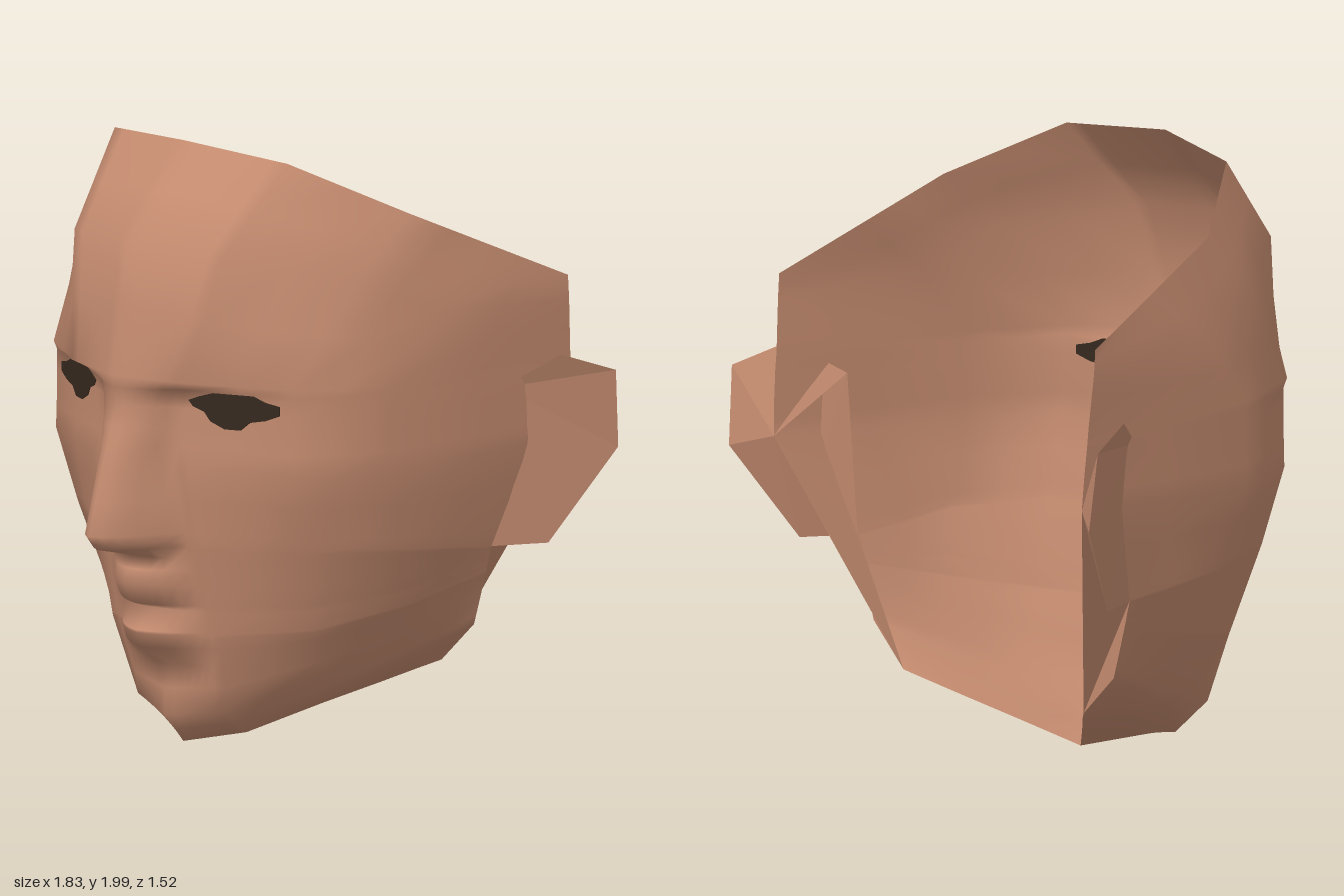
import * as THREE from 'three';

const skin = new THREE.MeshStandardMaterial({ color: 0xc48b6f, side: THREE.DoubleSide });
skin.name = 'skin';
const eyeDark = new THREE.MeshStandardMaterial({ color: 0x35291f, side: THREE.DoubleSide });
eyeDark.name = 'eye dark';

// Guide curves from hairline to under the chin, as [x, y, z]; LEVELS keys each step.
const LEVELS = [2, 1.7, 1.27, 1.23, 1.1, 0.97, 0.72, 0.4, 0.11, 0, -0.1];
const CENTRE = [[0, 2, .33], [0, 1.7, .585], [0, 1.27, .655], [0, 1.23, .56], [0, 1.1, .56], [0, .97, .56],
  [0, .72, .53], [0, .4, .45], [0, .11, .415], [0, .01, .33], [0, .01, -.03]];
const INNER = [[.4, 1.97, .25], [.34, 1.68, .49], [.26, 1.27, .58], [.2, 1.23, .52], [.2, 1.1, .52], [.22, .97, .52],
  [.25, .72, .475], [.25, .4, .405], [.2, .14, .34], [.18, .05, .22], [.15, .087, -.153]];
const CHEEK = [[.66, 1.8, -.05], [.63, 1.6, .16], [.55, 1.26, .38], [.55, 1.23, .365], [.55, 1.1, .365], [.56, .97, .36],
  [.53, .72, .29], [.47, .42, .2], [.42, .26, .1], [.4, .19, 0], [.3, .163, -.277]];
const SIDE = [[.725, 1.665, -.345], [.72, 1.48, -.1], [.7, 1.25, .08], [.7, 1.22, .08], [.7, 1.1, .08], [.7, .96, .08],
  [.67, .7, 0], [.6, .48, -.08], [.54, .36, -.14], [.5, .285, -.2], [.38, .205, -.345]];
const RIM = [[.79, 1.53, -.64], [.79, 1.45, -.645], [.78, 1.27, -.66], [.78, 1.22, -.665], [.775, 1.1, -.675], [.77, 1, -.68],
  [.68, .65, -.4], [.655, .56, -.4], [.625, .46, -.4], [.6, .38, -.4], [.45, .24, -.4]];
const GUIDES = [CENTRE, INNER, CHEEK, SIDE, RIM];

// Nose and lips: depth of the middle line, and half width of the raised area, by height
const PROFILE = [[1.27, .655], [1.17, .635], [.97, .70], [.75, .76], [.70, .72], [.66, .56], [.62, .58], [.57, .60],
  [.50, .55], [.48, .49], [.41, .545], [.35, .52], [.28, .42], [.11, .415]];
const WIDTH = [[1.27, .2], [1.17, .16], [.97, .13], [.75, .16], [.70, .15], [.66, .17], [.28, .2], [.11, .2]];
const ROWS = [2, 1.85, 1.7, 1.48, 1.27, 1.23, 1.17, 1.1, 1.04, .97, .86, .75, .72, .70, .66, .62, .57, .50, .48,
  .41, .4, .35, .28, .2, .11, .05, 0, -.05, -.1];

const mix = THREE.MathUtils.lerp;

// Piecewise linear lookup in a table sorted from high to low
function lookup(table, v) {
  const i = Math.max(1, table.findIndex(p => p[0] <= v));
  const [a, b] = [table[i - 1], table[i]];
  return mix(a[1], b[1], (a[0] - v) / (a[0] - b[0]));
}

function guidePoint(guide, v) {
  return [0, 1, 2].map(k => lookup(LEVELS.map((l, i) => [l, guide[i][k]]), v));
}

// Cross-section of the right half of the shell at one level, from middle to rim
function halfSection(v) {
  const keys = GUIDES.map(g => guidePoint(g, v));
  const points = [keys[0]];
  for (let s = 0; s < 4; s++) {
    const n = s === 0 ? 7 : 2;
    for (let j = 1; j <= n; j++) points.push(keys[s].map((c, k) => mix(c, keys[s + 1][k], j / n)));
  }
  if (v <= 1.27 && v >= 0.11) {
    const raise = lookup(PROFILE, v) - keys[0][2], w = lookup(WIDTH, v);
    for (const p of points) p[2] += raise * Math.max(0, 1 - (p[0] / w) ** 2);
  }
  return points;
}

function shellGeometry() {
  const pos = [], index = [];
  let n = 0;
  for (const v of ROWS) {
    const half = halfSection(v);
    const left = half.slice(1).reverse().map(([x, y, z]) => [-x, y, z]);
    const row = [...left, ...half];
    n = row.length;
    pos.push(...row.flat());
  }
  for (let i = 0; i < ROWS.length - 1; i++) {
    for (let j = 0; j < n - 1; j++) {
      const a = i * n + j, b = a + n;
      index.push(a, b, a + 1, b, b + 1, a + 1);
    }
  }
  const g = new THREE.BufferGeometry();
  g.setAttribute('position', new THREE.Float32BufferAttribute(pos, 3));
  g.setIndex(index);
  g.computeVertexNormals();
  return g;
}

// Flat facets from a few corner points
function facets(points, faces) {
  const g = new THREE.BufferGeometry();
  g.setAttribute('position', new THREE.Float32BufferAttribute(faces.flat().flatMap(i => points[i]), 3));
  g.computeVertexNormals();
  return g;
}

// Thin eye plate lying in the sloped plane of the socket
function eyeGeometry() {
  const outline = [[.215, 1.2], [.23, 1.18], [.265, 1.165], [.285, 1.135], [.33, 1.112], [.38, 1.112], [.41, 1.14],
    [.46, 1.15], [.505, 1.17], [.505, 1.2], [.46, 1.21], [.42, 1.228], [.29, 1.228], [.25, 1.215]];
  const shape = new THREE.Shape(outline.map(([x, y]) => new THREE.Vector2(x, y)));
  const g = new THREE.ExtrudeGeometry(shape, { depth: 0.009, bevelEnabled: false });
  const p = g.attributes.position;
  for (let i = 0; i < p.count; i++) p.setZ(i, p.getZ(i) - 0.0045 + 0.52 - 0.443 * (p.getX(i) - 0.2));
  g.computeVertexNormals();
  return g;
}

export function createModel() {
  const model = new THREE.Group();
  model.name = 'faceMask';

  const add = (name, geometry, material, mirror = 1) => {
    const mesh = new THREE.Mesh(geometry, material);
    mesh.name = name;
    mesh.scale.x = mirror;
    model.add(mesh);
  };

  add('faceShell', shellGeometry(), skin);

  // Ear: outer fan, then a back fan meeting the rim (last point)
  const ear = facets(
    [[.72, 1.18, -.41], [.84, 1.285, -.56], [.915, 1.22, -.735], [.9, .96, -.76], [.77, .65, -.57], [.68, .65, -.4], [.77, 1, -.68]],
    [[0, 5, 4], [0, 4, 3], [0, 3, 2], [0, 2, 1], [6, 1, 2], [6, 2, 3], [6, 3, 4], [6, 0, 1], [6, 4, 5]]);

  // Web closing the notch between ear and jaw corner
  const jawBack = facets(
    [[.77, 1, -.68], [.68, .65, -.4], [.6, .38, -.4], [.45, .24, -.4]],
    [[0, 1, 3], [1, 2, 3]]);

  const eye = eyeGeometry();
  for (const [side, mirror] of [['left', 1], ['right', -1]]) {
    add(side + 'Ear', ear, skin, mirror);
    add(side + 'JawBack', jawBack, skin, mirror);
    add(side + 'Eye', eye, eyeDark, mirror);
  }
  return model;
}
